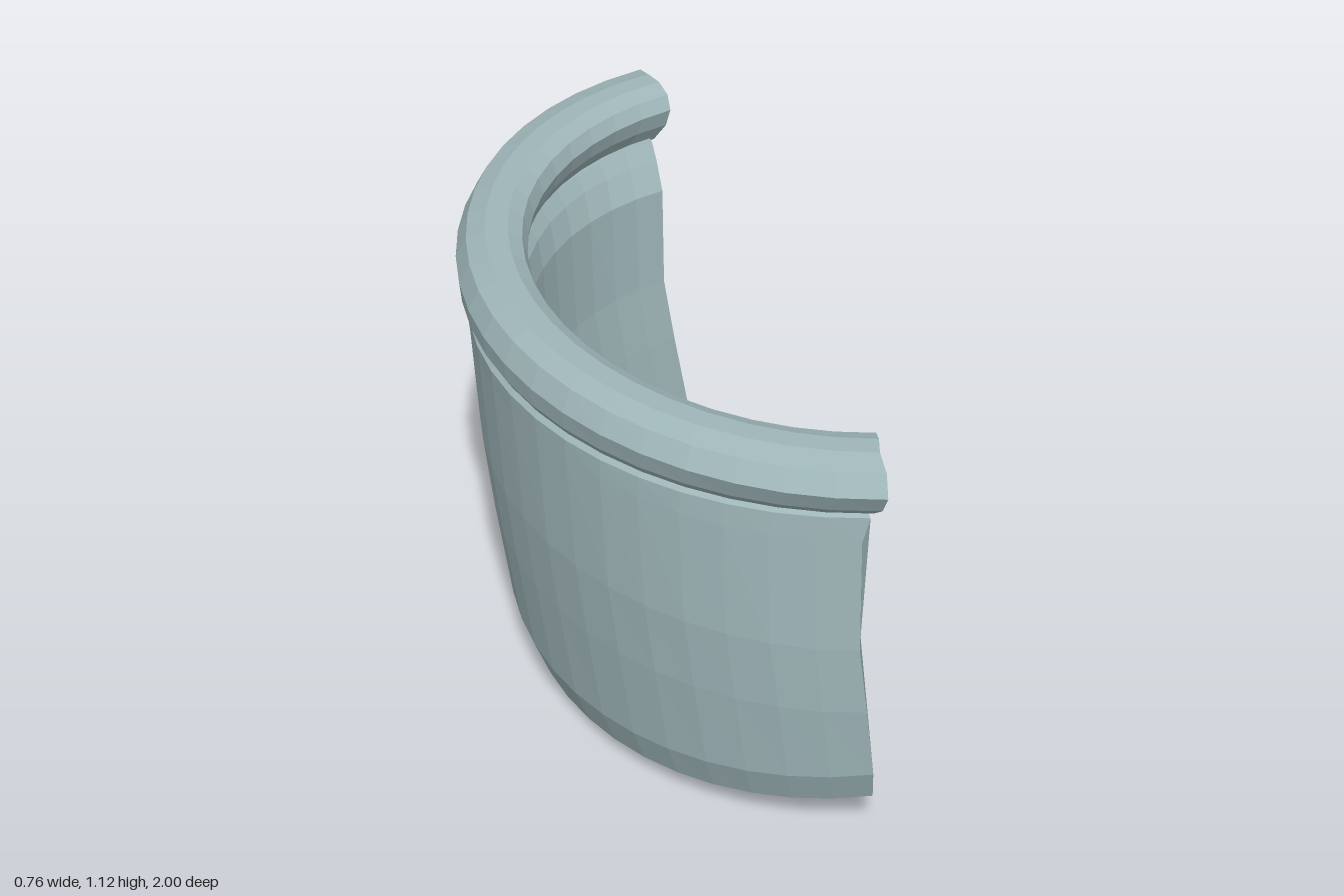
import * as THREE from 'three';

const SEGMENTS = 22;
const HALF_ANGLE = 1.342;

// Each row: x and y at the middle of the arc, then x, y and z at its ends.
const WALL = [
  [-0.335, 0.98, 0.29, 0.98, 0.88],
  [-0.362, 0.95, 0.295, 0.955, 0.915],
  [-0.357, 0.90, 0.28, 0.89, 0.912],
  [-0.335, 0.60, 0.285, 0.60, 0.92],
  [-0.31, 0.40, 0.31, 0.42, 0.92],
  [-0.27, 0.13, 0.34, 0.22, 0.905],
  [-0.23, 0.03, 0.355, 0.125, 0.87],
  [-0.17, 0.00, 0.37, 0.10, 0.82],
  [-0.125, 0.045, 0.378, 0.13, 0.76],
  [-0.135, 0.13, 0.375, 0.21, 0.737],
  [-0.175, 0.40, 0.335, 0.42, 0.73],
  [-0.20, 0.60, 0.305, 0.60, 0.73],
  [-0.215, 0.87, 0.30, 0.87, 0.735],
  [-0.222, 0.94, 0.295, 0.94, 0.775],
  [-0.25, 0.98, 0.29, 0.98, 0.80],
];

const RIM = [
  [-0.31, 1.12, 0.31, 1.12, 0.91],
  [-0.355, 1.10, 0.305, 1.105, 0.97],
  [-0.38, 1.05, 0.30, 1.06, 1.00],
  [-0.375, 1.00, 0.30, 1.01, 0.97],
  [-0.355, 0.967, 0.30, 0.97, 0.92],
  [-0.30, 0.945, 0.30, 0.95, 0.87],
  [-0.24, 0.965, 0.305, 0.97, 0.835],
  [-0.217, 1.02, 0.33, 1.02, 0.81],
  [-0.21, 1.06, 0.337, 1.07, 0.795],
  [-0.222, 1.10, 0.335, 1.105, 0.815],
  [-0.255, 1.12, 0.325, 1.12, 0.86],
];

// Sweeps a closed profile along an elliptical arc and caps both ends.
function sweep(rows) {
  const n = rows.length, pos = [], index = [];
  for (let j = 0; j <= SEGMENTS; j++) {
    const t = HALF_ANGLE * (2 * j / SEGMENTS - 1);
    const f = (1 - Math.cos(t)) / (1 - Math.cos(HALF_ANGLE));
    const g = Math.sin(t) / Math.sin(HALF_ANGLE);
    for (const [xm, ym, xe, ye, ze] of rows) {
      pos.push(xm + (xe - xm) * f, ym + (ye - ym) * f, ze * g);
    }
  }
  for (let j = 0; j < SEGMENTS; j++) {
    for (let i = 0; i < n; i++) {
      const k = (i + 1) % n;
      const a = j * n + i, b = j * n + k, c = b + n, d = a + n;
      index.push(a, b, c, a, c, d);
    }
  }
  // End caps as fans around the section centre
  for (const j of [0, SEGMENTS]) {
    const centre = pos.length / 3, sum = [0, 0, 0];
    for (let i = 0; i < n; i++) {
      for (let q = 0; q < 3; q++) sum[q] += pos[(j * n + i) * 3 + q] / n;
    }
    pos.push(...sum);
    for (let i = 0; i < n; i++) {
      const a = j * n + i, b = j * n + (i + 1) % n;
      if (j === 0) index.push(centre, b, a);
      else index.push(centre, a, b);
    }
  }
  const geometry = new THREE.BufferGeometry();
  geometry.setAttribute('position', new THREE.Float32BufferAttribute(pos, 3));
  geometry.setIndex(index);
  const flat = geometry.toNonIndexed();
  flat.computeVertexNormals();
  return flat;
}

export function createModel() {
  const group = new THREE.Group();
  group.name = 'curvedCollar';
  const material = new THREE.MeshStandardMaterial({ color: 0x9fb6b9, flatShading: true });
  material.name = 'paleBlueGrey';

  // Leaning wall with a bevelled foot, and the rounded lip on top
  for (const [name, rows] of [['wall', WALL], ['rim', RIM]]) {
    const mesh = new THREE.Mesh(sweep(rows), material);
    mesh.name = name;
    group.add(mesh);
  }
  return group;
}
